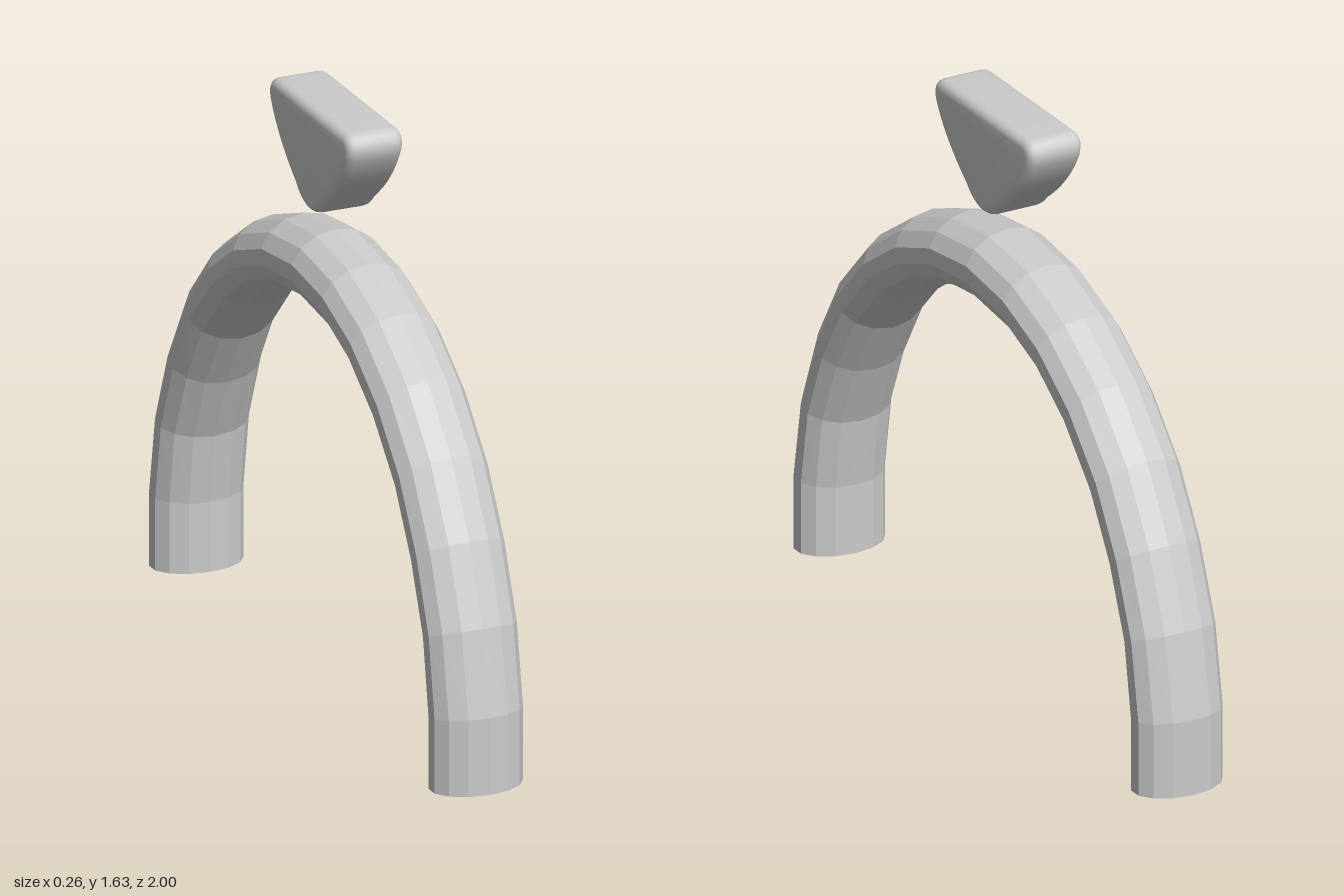
import * as THREE from 'three';
import { toCreasedNormals } from 'three/addons/utils/BufferGeometryUtils.js';

const grey = new THREE.MeshStandardMaterial({ color: 0xcccccc });
const faceted = new THREE.MeshStandardMaterial({ color: 0xcccccc, flatShading: true });

// Half of the arch from foot to crown: [outer z, outer y, inner z, inner y]
const HALF = [
  [1, 0, 0.82, 0], [1, 0.22, 0.82, 0.2], [0.955, 0.46, 0.79, 0.4],
  [0.87, 0.68, 0.715, 0.58], [0.75, 0.88, 0.62, 0.74], [0.595, 1.045, 0.485, 0.88],
  [0.41, 1.17, 0.34, 0.98], [0.21, 1.245, 0.18, 1.04], [0, 1.272, 0, 1.06],
];
const SIDES = 14;
const HALF_WIDTH = 0.133;

// Fourteen-sided oval band swept through the sections, closed at both feet
function archGeometry() {
  const mirrored = HALF.slice(0, -1).reverse().map(([oz, oy, iz, iy]) => [-oz, oy, -iz, iy]);
  const sections = [...HALF, ...mirrored];
  const positions = [];
  const index = [];
  for (const [oz, oy, iz, iy] of sections) {
    for (let j = 0; j < SIDES; j++) {
      const a = (j / SIDES) * Math.PI * 2;
      const t = (1 + Math.cos(a)) / 2;
      positions.push(HALF_WIDTH * Math.sin(a), iy + (oy - iy) * t, iz + (oz - iz) * t);
    }
  }
  const last = (sections.length - 1) * SIDES;
  for (let i = 0; i < last; i += SIDES) {
    for (let j = 0; j < SIDES; j++) {
      const k = (j + 1) % SIDES;
      const a = i + j, b = i + k, c = a + SIDES, d = b + SIDES;
      index.push(a, b, c, b, d, c);
    }
  }
  for (let j = 1; j < SIDES - 1; j++) {
    index.push(0, j + 1, j, last, last + j, last + j + 1);
  }
  const geometry = new THREE.BufferGeometry();
  geometry.setAttribute('position', new THREE.Float32BufferAttribute(positions, 3));
  geometry.setIndex(index);
  geometry.computeVertexNormals();
  return geometry;
}

// Rounded half-drop outline, extruded across the band with soft edges
function stoneGeometry() {
  const side = new THREE.Path();
  side.moveTo(0, 1.36);
  side.quadraticCurveTo(0.04, 1.36, 0.075, 1.4);
  side.quadraticCurveTo(0.19, 1.485, 0.235, 1.575);
  side.quadraticCurveTo(0.25, 1.61, 0.22, 1.61);
  const right = side.getPoints(8);
  const left = right.slice(1).reverse().map((p) => new THREE.Vector2(-p.x, p.y));
  const geometry = new THREE.ExtrudeGeometry(new THREE.Shape([...right, ...left]), {
    depth: 0.116, bevelThickness: 0.025, bevelSize: 0.025, bevelSegments: 4,
  });
  geometry.translate(0, 0, -0.058);
  geometry.rotateY(Math.PI / 2);
  return toCreasedNormals(geometry, 0.6);
}

export function createModel() {
  const model = new THREE.Group();
  const arch = new THREE.Mesh(archGeometry(), faceted);
  arch.name = 'arch';
  const stone = new THREE.Mesh(stoneGeometry(), grey);
  stone.name = 'floatingStone';
  model.add(arch, stone);
  return model;
}
